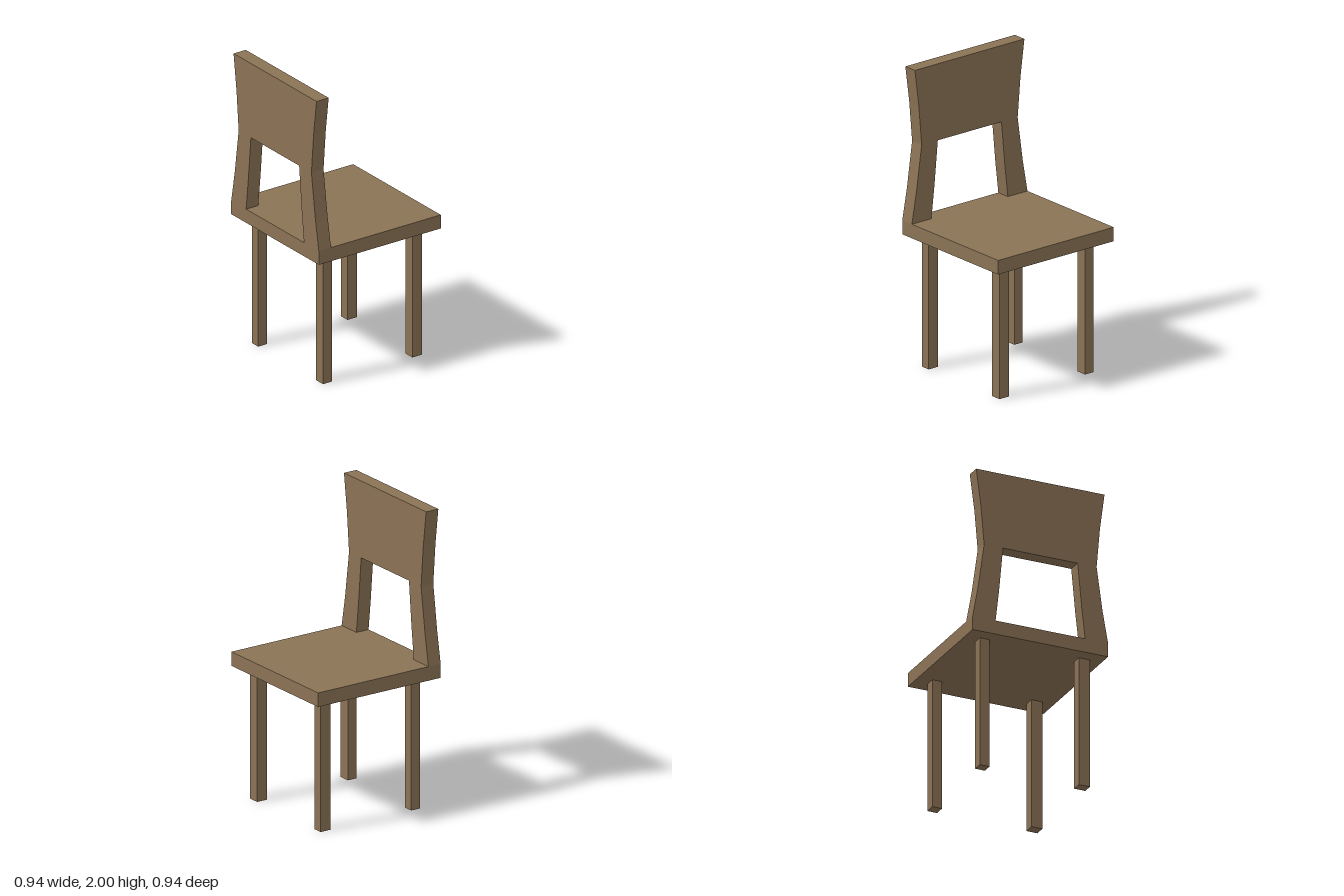
import * as THREE from 'three';

export function createModel() {
  const group = new THREE.Group();
  const wood = new THREE.MeshStandardMaterial({ color: 0x8b7355, flatShading: true });

  // Box spanning the given ranges
  function box(name, [x0, x1], [y0, y1], [z0, z1]) {
    const mesh = new THREE.Mesh(new THREE.BoxGeometry(x1 - x0, y1 - y0, z1 - z0), wood);
    mesh.position.set((x0 + x1) / 2, (y0 + y1) / 2, (z0 + z1) / 2);
    mesh.name = name;
    group.add(mesh);
  }

  const half = 0.472, seatBottom = 0.88, seatTop = 0.974;
  box('seat', [-half, half], [seatBottom, seatTop], [-half, half]);

  // Four square legs
  for (const [xName, xs] of [['back', [-0.38, -0.312]], ['front', [0.312, 0.386]]])
    for (const [zName, zs] of [['Right', [-0.378, -0.31]], ['Left', [0.312, 0.389]]])
      box(`${xName}${zName}Leg`, xs, [0, seatBottom], zs);

  // Backrest: waisted outline with an opening between its two posts
  const outer = [[half, seatTop], [0.434, 1.185], [0.392, 1.487], [0.415, 1.755], [0.447, 2]];
  const inner = [[0.26, 1.487], [0.288, 1.185], [0.312, seatTop]];
  const side = [...inner, ...outer];
  const mirrored = side.map(([u, y]) => [-u, y]).reverse();
  const shape = new THREE.Shape([...side, ...mirrored].map(([u, y]) => new THREE.Vector2(u, y)));
  const backrest = new THREE.Mesh(
    new THREE.ExtrudeGeometry(shape, { depth: 0.094, bevelEnabled: false }), wood);
  backrest.rotation.y = Math.PI / 2;
  backrest.position.x = -half;
  backrest.name = 'backrest';
  group.add(backrest);

  return group;
}
